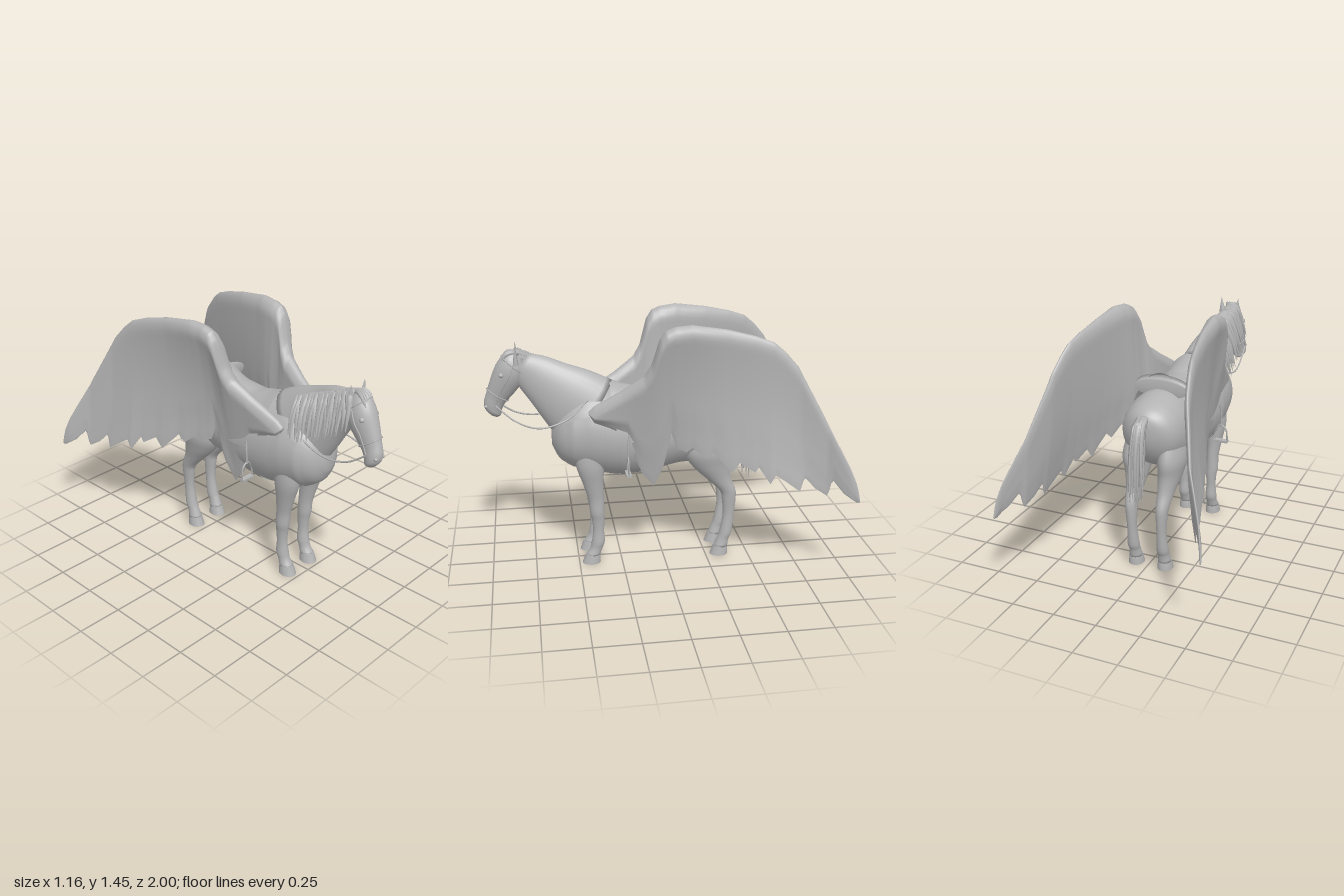
import * as THREE from 'three';
import { toCreasedNormals } from 'three/addons/utils/BufferGeometryUtils.js';

const grey = new THREE.MeshStandardMaterial({ color: 0xb3b3b3, side: THREE.DoubleSide });
grey.name = 'plain grey';
const V = (p) => new THREE.Vector3(...p);
const rad = THREE.MathUtils.degToRad;
const CX = -0.01; // the body stands slightly to its right of the wings

// Linear lookup in rows sorted by their first number
function at(rows, k) {
  if (k <= rows[0][0]) return rows[0].slice(1);
  for (let i = 1; i < rows.length; i++) {
    const a = rows[i - 1], b = rows[i];
    if (k <= b[0]) return b.slice(1).map((v, j) => a[j + 1] + (v - a[j + 1]) * (k - a[0]) / (b[0] - a[0]));
  }
  return rows[rows.length - 1].slice(1);
}

// Skin a list of rings, capped when they are closed
function skin(rings, { closed = true, flip = false } = {}) {
  const n = rings[0].length, pos = rings.flat(2), idx = [];
  const tri = (a, b, c) => (flip ? idx.push(a, c, b) : idx.push(a, b, c));
  for (let i = 0; i < rings.length - 1; i++)
    for (let j = 0; j < (closed ? n : n - 1); j++) {
      const a = i * n + j, b = i * n + (j + 1) % n;
      tri(a, b, b + n);
      tri(a, b + n, a + n);
    }
  if (closed) [0, rings.length - 1].forEach((r, e) => {
    const c = pos.length / 3, m = [0, 1, 2].map((d) => rings[r].reduce((s, p) => s + p[d], 0) / n);
    pos.push(...m);
    for (let j = 0; j < n; j++) {
      const a = r * n + j, b = r * n + (j + 1) % n;
      e ? tri(c, a, b) : tri(c, b, a);
    }
  });
  const g = new THREE.BufferGeometry();
  g.setAttribute('position', new THREE.Float32BufferAttribute(pos, 3));
  g.setIndex(idx);
  g.computeVertexNormals();
  return g;
}

// Elliptical ring: [x, y, z, half width, half depth, tilt in degrees]
function ring([x, y, z, rx, r, tilt], n = 28) {
  const a = rad(tilt);
  return Array.from({ length: n }, (_, j) => {
    const t = j / n * Math.PI * 2, w = Math.sin(t) * r;
    return [x + Math.cos(t) * rx, y + w * Math.cos(a), z + w * Math.sin(a)];
  });
}

function loft(sections, sub = 4) {
  const c = new THREE.CatmullRomCurve3(sections.map((s) => V(s.slice(0, 3))), false, 'catmullrom');
  const q = new THREE.CatmullRomCurve3(sections.map((s) => V(s.slice(3))), false, 'catmullrom');
  const n = (sections.length - 1) * sub;
  return skin(Array.from({ length: n + 1 }, (_, i) =>
    ring([...c.getPoint(i / n).toArray(), ...q.getPoint(i / n).toArray()])));
}

const tube = (pts, r, closed = false) =>
  new THREE.TubeGeometry(new THREE.CatmullRomCurve3(pts.map(V), closed), 32, r, 6, closed);

// Lock of hair narrowing to a point
function lock(pts, r) {
  const curve = new THREE.CatmullRomCurve3(pts.map(V)), seg = 10, sides = 6;
  const g = new THREE.TubeGeometry(curve, seg, r, sides), p = g.attributes.position, v = new THREE.Vector3();
  for (let i = 0; i < p.count; i++) {
    const t = Math.floor(i / (sides + 1)) / seg, c = curve.getPointAt(t);
    v.fromBufferAttribute(p, i).sub(c).multiplyScalar(1.02 - t ** 2).add(c);
    p.setXYZ(i, v.x, v.y, v.z);
  }
  g.computeVertexNormals();
  return g;
}

// Torso rows: z, centre y, half width, half height
const TORSO = [[-0.425, 0.86, 0.03, 0.05], [-0.4, 0.845, 0.1, 0.11], [-0.34, 0.82, 0.16, 0.17],
  [-0.22, 0.8, 0.183, 0.215], [-0.08, 0.79, 0.18, 0.22], [0.1, 0.765, 0.19, 0.235], [0.28, 0.775, 0.195, 0.25],
  [0.42, 0.8, 0.185, 0.24], [0.52, 0.79, 0.165, 0.2], [0.59, 0.775, 0.115, 0.14], [0.63, 0.765, 0.04, 0.05]];
const NECK = [[CX, 0.89, 0.42, 0.13, 0.235, -35], [CX, 0.99, 0.53, 0.1, 0.195, -40], [-0.018, 1.07, 0.63, 0.075, 0.15, -42],
  [-0.035, 1.14, 0.72, 0.06, 0.115, -45], [-0.045, 1.18, 0.79, 0.048, 0.082, -40]];
const HEAD = [[-0.042, 1.235, 0.8, 0.025, 0.035, 45], [-0.045, 1.19, 0.818, 0.06, 0.076, 50],
  [-0.05, 1.13, 0.85, 0.071, 0.088, 52], [-0.055, 1.06, 0.89, 0.06, 0.077, 55], [-0.062, 0.99, 0.93, 0.046, 0.06, 58],
  [-0.068, 0.94, 0.95, 0.045, 0.055, 60], [-0.07, 0.905, 0.95, 0.039, 0.047, 65], [-0.07, 0.882, 0.945, 0.015, 0.02, 70]];
const FORELEG = [[0.095, 0.78, 0.43, 0.055, 0.08], [0.103, 0.62, 0.425, 0.06, 0.08], [0.1, 0.5, 0.41, 0.045, 0.058],
  [0.095, 0.4, 0.395, 0.036, 0.045], [0.094, 0.32, 0.39, 0.037, 0.042], [0.092, 0.27, 0.385, 0.031, 0.037],
  [0.091, 0.2, 0.385, 0.028, 0.032], [0.09, 0.13, 0.388, 0.034, 0.038], [0.09, 0.09, 0.4, 0.032, 0.036], [0.09, 0.05, 0.42, 0.038, 0.042]];
const HINDLEG = [[0.095, 0.83, -0.24, 0.05, 0.1], [0.105, 0.68, -0.25, 0.075, 0.14], [0.1, 0.58, -0.27, 0.065, 0.112],
  [0.095, 0.49, -0.32, 0.048, 0.073], [0.094, 0.41, -0.375, 0.036, 0.048], [0.092, 0.35, -0.385, 0.032, 0.041],
  [0.09, 0.25, -0.385, 0.027, 0.033], [0.09, 0.14, -0.37, 0.034, 0.037], [0.09, 0.1, -0.355, 0.032, 0.036], [0.09, 0.05, -0.34, 0.038, 0.042]];

// Wing outline and shape, keyed by distance towards the back (-z)
const WING_TOP = [[-0.43, 0.955], [-0.4, 0.985], [-0.35, 1.015], [-0.25, 1.075], [-0.13, 1.16], [-0.09, 1.23], [-0.05, 1.37],
  [-0.02, 1.415], [0.03, 1.435], [0.12, 1.445], [0.3, 1.42], [0.45, 1.385], [0.55, 1.35], [0.61, 1.3], [0.68, 1.22],
  [0.82, 0.95], [0.95, 0.68], [0.985, 0.59], [1, 0.51]];
const WING_BOTTOM = [[-0.43, 0.94], [-0.4, 0.89], [-0.32, 0.86], [-0.22, 0.81], [-0.18, 0.68], [-0.14, 0.58], [-0.07, 0.49],
  [-0.02, 0.62], [0, 0.72], [0.02, 0.83], [0.05, 0.74], [0.1, 0.72], [0.13, 0.75], [0.2, 0.69], [0.24, 0.73], [0.34, 0.62],
  [0.38, 0.68], [0.46, 0.63], [0.48, 0.66], [0.54, 0.57], [0.57, 0.62], [0.63, 0.58], [0.7, 0.53], [0.725, 0.61],
  [0.78, 0.55], [0.845, 0.51], [0.865, 0.61], [0.92, 0.54], [0.98, 0.5], [1, 0.5]];
// Middle x at y = 1, its change with height, and the inward bulge
const WING_X = [[-0.43, 0.165, 0, 0], [-0.2, 0.198, 0.1, 0], [-0.07, 0.22, 0.13, 0], [0, 0.232, 0.1, 0.01], [0.06, 0.25, 0.06, 0.015],
  [0.15, 0.28, 0.02, 0.02], [0.3, 0.318, -0.04, 0.02], [0.55, 0.375, -0.1, 0.02], [0.7, 0.4, -0.12, 0.018],
  [0.84, 0.44, -0.12, 0.012], [0.95, 0.51, -0.1, 0], [1, 0.55, -0.05, 0]];
const WING_THICK = [[-0.43, 0.03], [-0.35, 0.04], [-0.05, 0.058], [0.1, 0.052], [0.3, 0.036], [0.6, 0.02], [1, 0.005]];

function wingGeometry(side) {
  const cols = 143, rows = 20;
  const rings = Array.from({ length: cols + 1 }, (_, i) => {
    const d = -0.43 + 1.43 * i / cols;
    const [top] = at(WING_TOP, d), [bottom] = at(WING_BOTTOM, d), [x, lean, bulge] = at(WING_X, d), [thick] = at(WING_THICK, d);
    const point = (v, face) => {
      const drop = (top - bottom) * v ** 1.5;
      const half = thick * Math.sqrt(Math.min(1, drop / 0.06)) * Math.exp(-drop * 2.5) * Math.min(1, (1 - v) * 5) + 0.002;
      const mid = x + lean * (top - drop - 1) - bulge * Math.sin(Math.PI * Math.min(1, drop / 0.75));
      return [side * (mid + face * half), top - drop, -d];
    };
    return [...Array.from({ length: rows }, (_, r) => point(r / (rows - 1), 1)),
      ...Array.from({ length: rows }, (_, r) => point(1 - r / (rows - 1), -1))];
  });
  return skin(rings, { flip: side < 0 });
}

// Leather sheet wrapped over the torso; angles are measured from the spine
function wrap(z0, z1, a0, a1, pad, lift = () => 0) {
  return skin(Array.from({ length: 21 }, (_, i) => {
    const z = z0 + (z1 - z0) * i / 20, [y, rx, ry] = at(TORSO, z);
    return Array.from({ length: 31 }, (_, j) => {
      const a = rad(a0 + (a1 - a0) * j / 30), up = lift(z) * Math.max(0, Math.cos(a)) ** 2;
      return [CX + Math.sin(a) * (rx + pad), y + Math.cos(a) * (ry + pad) + up, z];
    });
  }), { closed: false, flip: true });
}

export function createModel() {
  const model = new THREE.Group();
  model.name = 'wingedHorse';
  const add = (name, geo, place) => {
    const m = new THREE.Mesh(geo, grey);
    m.name = name;
    if (place) m.position.set(...place);
    model.add(m);
    return m;
  };

  // Body, neck and head
  add('torso', loft(TORSO.map(([z, y, rx, ry]) => [CX, y, z, rx, ry, 0])));
  add('neck', loft(NECK));
  add('head', loft(HEAD));

  for (const s of [1, -1]) {
    const side = s > 0 ? 'left' : 'right';
    // Legs and hooves
    for (const [name, rows, z] of [['Foreleg', FORELEG, 0.422], ['HindLeg', HINDLEG, -0.338]]) {
      add(side + name, loft(rows.map(([x, ...r]) => [CX + s * x, ...r, 90])));
      const hoof = [[0.055, z, 0.037, 0.041], [0.045, z, 0.039, 0.044], [0, z + 0.008, 0.045, 0.053]];
      add(side + name + 'Hoof', toCreasedNormals(skin(hoof.map((r) => ring([CX + s * 0.09, ...r, 90]))), 0.7));
    }
    add(side + 'Wing', wingGeometry(s));
    // Ears, eyes and nostrils
    const ear = add(side + 'Ear', new THREE.ConeGeometry(0.025, 0.11, 10), [-0.045 + s * 0.05, 1.245, 0.81]);
    ear.scale.z = 0.7;
    ear.rotation.z = -s * 0.1;
    add(side + 'Eye', new THREE.SphereGeometry(0.014, 12, 8), [-0.05 + s * 0.058, 1.135, 0.893]);
    add(side + 'Nostril', new THREE.SphereGeometry(0.011, 10, 8), [-0.069 + s * 0.028, 0.945, 0.984]);
    // Tack on each side
    add(side + 'CheekStrap', tube([[-0.045 + s * 0.054, 1.22, 0.81], [-0.05 + s * 0.073, 1.12, 0.855],
      [-0.056 + s * 0.061, 1.05, 0.895], [-0.065 + s * 0.049, 0.96, 0.935]], 0.004));
    add(side + 'Rein', tube([[-0.066 + s * 0.047, 0.955, 0.935], [s > 0 ? 0.06 : -0.12, 0.88, 0.82], [s * 0.13, 0.86, 0.69],
      [s * 0.125, 0.91, 0.53], [s * 0.1, 1.0, 0.43]], 0.005));
    add(side + 'SaddleFlap', wrap(0.06, 0.28, s * 40, s * 90, 0.01));
    add(side + 'StirrupLeather', tube([[CX + s * 0.205, 0.82, 0.21], [CX + s * 0.212, 0.75, 0.22], [CX + s * 0.21, 0.68, 0.22]], 0.006));
    add(side + 'StirrupArch', tube([[0.17, 0.59], [0.175, 0.65], [0.205, 0.69], [0.24, 0.665], [0.25, 0.59]]
      .map(([x, y]) => [CX + s * x, y, 0.22]), 0.005));
    add(side + 'StirrupTread', new THREE.BoxGeometry(0.085, 0.014, 0.03), [CX + s * 0.21, 0.59, 0.22]);
  }

  // Bridle bands
  add('noseband', tube(ring([-0.06, 1.01, 0.919, 0.053, 0.068, 57], 12), 0.004, true));
  add('browband', tube(ring([-0.046, 1.18, 0.824, 0.065, 0.082, 50], 12), 0.004, true));

  // Saddle, blanket, girth and breastplate
  const seat = [[-0.17, 0.085], [-0.12, 0.045], [-0.05, 0.02], [0.1, 0.015], [0.22, 0.025], [0.3, 0.045]];
  add('saddleBlanket', wrap(-0.36, 0.3, -65, 65, 0.006));
  add('saddleSeat', wrap(-0.17, 0.3, -62, 62, 0.012, (z) => at(seat, z)[0]));
  add('saddleBack', loft([[CX, 1.02, -0.18, 0.16, 0.05, 0], [CX, 1.04, -0.155, 0.155, 0.058, 0]], 2));
  add('saddleHorn', new THREE.CylinderGeometry(0.01, 0.016, 0.08, 12), [CX, 1.07, 0.35]);
  add('girth', wrap(0.2, 0.25, 80, 280, 0.008));
  add('breastplate', wrap(0.34, 0.56, 60, 300, 0.006));

  // Mane falling to the right, forelock and tail
  for (let i = 0; i < 26; i++) {
    const t = i / 25, j = 0.02 * Math.sin(i * 2.4), x = -0.045 + 0.035 * t, y = 1.25 - 0.14 * t, z = 0.79 - 0.36 * t;
    add('maneLock', lock([[x + 0.01, y - 0.012, z], [x - 0.04, y, z + 0.01], [x - 0.08 - 0.035 * t, y - 0.09, z + 0.03 + j],
      [x - 0.11 - 0.045 * t + j * 0.5, y - 0.19 - 0.06 * t + j, z + 0.04 + j]], 0.017));
  }
  for (let i = 0; i < 5; i++) {
    const x = -0.075 + 0.015 * i;
    add('forelock', lock([[-0.045, 1.245, 0.79], [x, 1.25, 0.85], [x - 0.01, 1.17, 0.925 - Math.abs(i - 2) * 0.008]], 0.013));
  }
  for (let i = 0; i < 16; i++) {
    const a = i * 2.4, r = 0.035 * Math.sqrt(i / 15), x = r * Math.cos(a), z = r * Math.sin(a);
    add('tailLock', lock([[CX + x * 0.3, 0.93, -0.37], [CX + x * 0.7, 0.92, -0.45 + z * 0.5], [CX + x, 0.78, -0.49 + z],
      [CX + x * 1.2, 0.62, -0.505 + z], [CX + x * 1.1, 0.44 + 0.07 * Math.abs(Math.sin(i * 1.7)), -0.51 + z]], 0.018));
  }
  return model;
}
